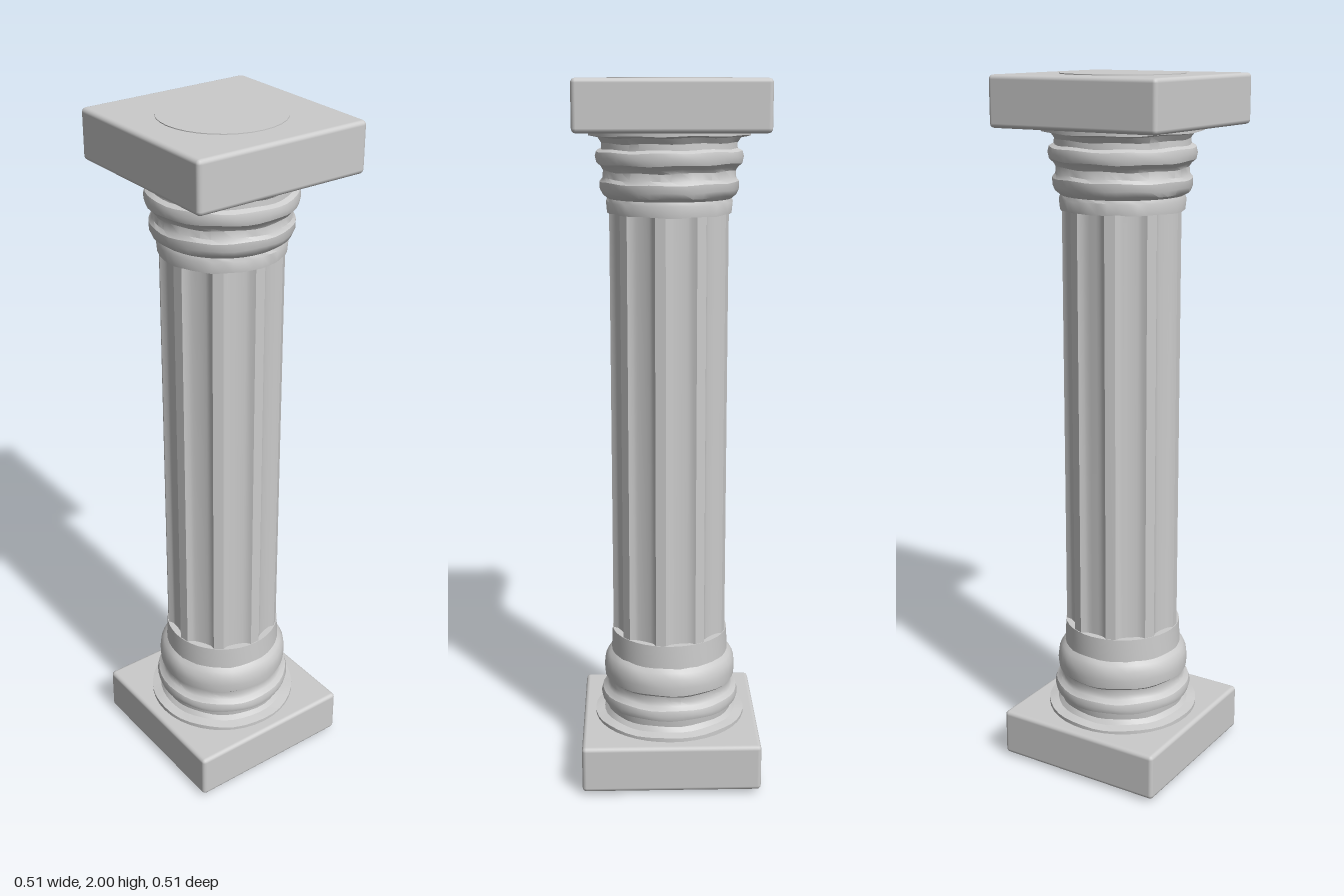
import * as THREE from 'three';
import { RoundedBoxGeometry } from 'three/addons/geometries/RoundedBoxGeometry.js';
import { toCreasedNormals } from 'three/addons/utils/BufferGeometryUtils.js';

const material = new THREE.MeshStandardMaterial({ color: 0xcccccc });

function addMesh(parent, name, geometry, y = 0) {
  const mesh = new THREE.Mesh(geometry, material);
  mesh.name = name;
  mesh.position.y = y;
  parent.add(mesh);
  return mesh;
}

// Nine shallow concave flutes with narrow flat ridges between them
function flutedShaft(bottom, top) {
  const flutes = 9, steps = 8, radius = 0.167, depth = 0.018;
  const pitch = (Math.PI * 2) / flutes, half = pitch * 0.375;
  const points = [];
  for (let i = 0; i < flutes; i++) {
    const centre = (i + 0.5) * pitch;
    for (let j = 0; j <= steps; j++) {
      const t = (j / steps) * 2 - 1;
      const a = centre + t * half;
      const r = radius - depth * Math.sqrt(1 - t * t);
      points.push(new THREE.Vector2(r * Math.sin(a), -r * Math.cos(a)));
    }
  }
  const geometry = new THREE.ExtrudeGeometry(new THREE.Shape(points), { depth: top - bottom, bevelEnabled: false });
  geometry.rotateX(-Math.PI / 2);
  geometry.translate(0, bottom, 0);
  return toCreasedNormals(geometry, 0.5);
}

// Turned moulding, slightly uneven like hewn stone
function moulding(profile) {
  const geometry = new THREE.LatheGeometry(profile.map(([r, y]) => new THREE.Vector2(r, y)), 40);
  const p = geometry.attributes.position;
  for (let i = 0; i < p.count; i++) {
    const x = p.getX(i), y = p.getY(i), z = p.getZ(i);
    const a = Math.atan2(x, z);
    const lift = 0.003 * Math.sin(5 * a + y * 40) * Math.sin(3 * a + y * 25);
    if (Math.hypot(x, z) > 0.172) p.setY(i, y + lift);
  }
  return toCreasedNormals(geometry, 0.6);
}

export function createModel() {
  const column = new THREE.Group();
  column.name = 'column';

  // Square plinths with softened edges, each with a thin round disc
  for (const [name, y, discY] of [['base', 0.078, 0.008], ['top', 1.929, 1.992]]) {
    addMesh(column, name + 'Plinth', new RoundedBoxGeometry(0.515, 0.137, 0.515, 2, 0.012), y);
    addMesh(column, name + 'Disc', new THREE.CylinderGeometry(0.17, 0.17, 0.016, 32), discY);
  }

  addMesh(column, 'flutedShaft', flutedShaft(0.41, 1.65));

  // Base mouldings rising to the smooth collar under the flutes
  addMesh(column, 'baseMoulding', moulding([
    [0.222, 0.14], [0.222, 0.157], [0.195, 0.162], [0.185, 0.175], [0.187, 0.194],
    [0.2, 0.2], [0.204, 0.215], [0.2, 0.23], [0.187, 0.24], [0.182, 0.252],
    [0.184, 0.268], [0.192, 0.275], [0.194, 0.3], [0.191, 0.325], [0.182, 0.342],
    [0.172, 0.352], [0.169, 0.42], [0, 0.42],
  ]));

  // Capital mouldings
  addMesh(column, 'capitalMoulding', moulding([
    [0, 1.64], [0.172, 1.64], [0.175, 1.67], [0.171, 1.68], [0.185, 1.69],
    [0.192, 1.705], [0.192, 1.725], [0.184, 1.735], [0.182, 1.755], [0.188, 1.765],
    [0.2, 1.775], [0.204, 1.792], [0.2, 1.807], [0.187, 1.814], [0.186, 1.83],
    [0.196, 1.845], [0.222, 1.85], [0.222, 1.87],
  ]));

  return column;
}
